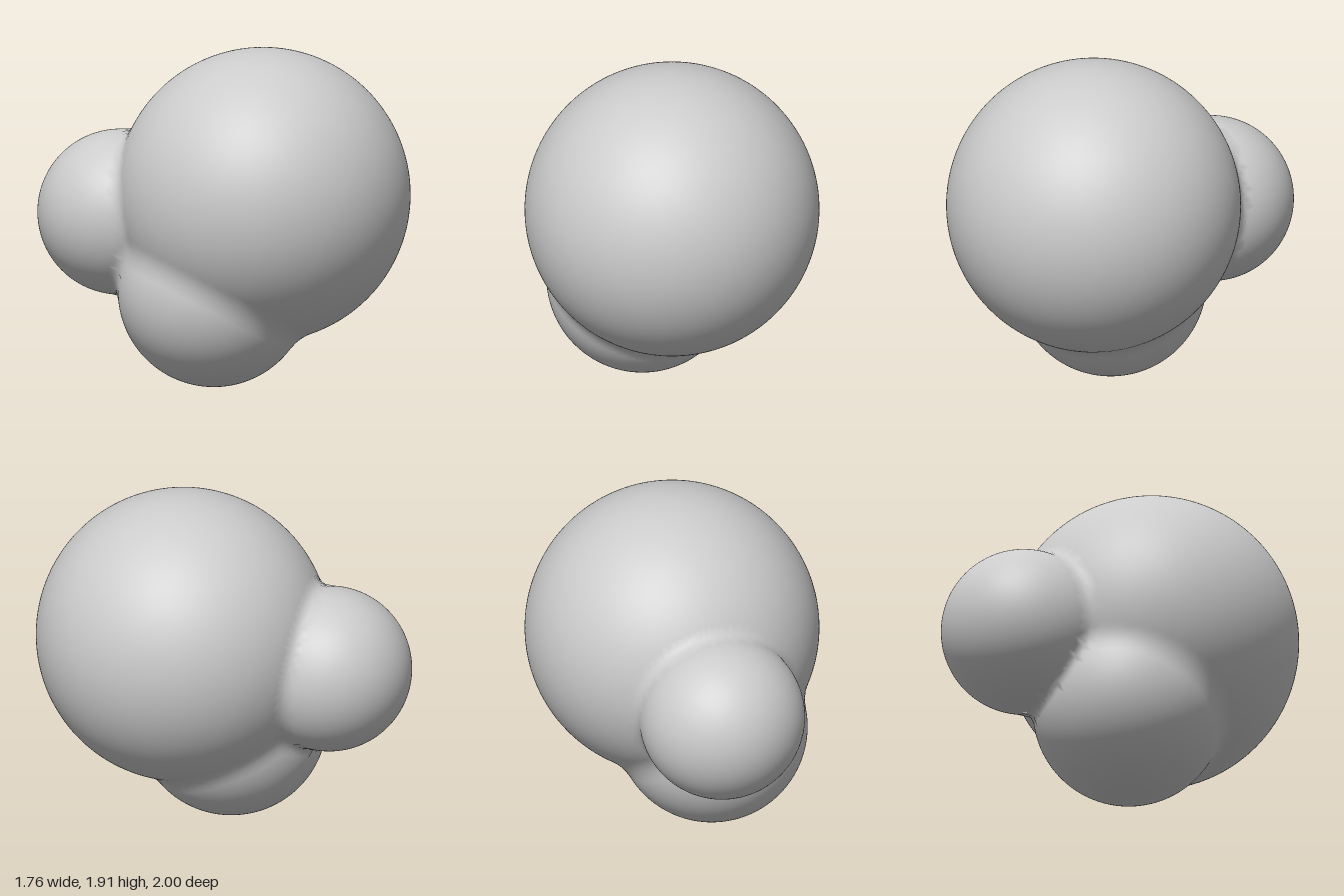
import * as THREE from 'three';

// Three merged balls: name, centre, radius
const BALLS = [
  { name: 'mainBall', centre: new THREE.Vector3(0.05, 1.08, 0.17), radius: 0.83 },
  { name: 'backBall', centre: new THREE.Vector3(-0.415, 0.943, -0.533), radius: 0.467 },
  { name: 'lowerBall', centre: new THREE.Vector3(-0.21, 0.54, 0.05), radius: 0.54 },
];
const BLEND = 0.06; // softness of the creases
const REACH = 0.1; // how far a vertex may rise to form a crease

// Signed distance to the softly joined balls
function distance(p) {
  return BALLS.map((b) => p.distanceTo(b.centre) - b.radius).reduce((a, b) => {
    const h = Math.max(BLEND - Math.abs(a - b), 0) / BLEND;
    return Math.min(a, b) - (h * h * BLEND) / 4;
  });
}

// Surface normal from the slope of the distance
function normalAt(p) {
  const e = 0.002;
  const slope = (axis) => {
    const q = p.clone();
    q[axis] += e;
    const ahead = distance(q);
    q[axis] -= 2 * e;
    return ahead - distance(q);
  };
  return new THREE.Vector3(slope('x'), slope('y'), slope('z')).normalize();
}

// Raise a ball's vertices onto the blended surface and drop its buried faces
function createBall({ name, centre, radius }, material) {
  const source = new THREE.IcosahedronGeometry(1, 30).attributes.position;
  const positions = [];
  const normals = [];
  for (let i = 0; i < source.count; i += 3) {
    const corners = [0, 1, 2].map((k) => {
      const out = new THREE.Vector3().fromBufferAttribute(source, i + k).normalize();
      const start = centre.clone().addScaledVector(out, radius);
      const p = start.clone();
      let d = distance(p);
      for (let n = 0; n < 30 && d < -0.0005 && p.distanceTo(start) < REACH; n++) {
        p.addScaledVector(out, -d);
        d = distance(p);
      }
      const exposed = d > -0.001;
      return { exposed, point: exposed ? p : start, normal: exposed ? normalAt(p) : out };
    });
    if (!corners.some((c) => c.exposed)) continue;
    for (const c of corners) {
      positions.push(...c.point.toArray());
      normals.push(...c.normal.toArray());
    }
  }
  const geometry = new THREE.BufferGeometry();
  geometry.setAttribute('position', new THREE.Float32BufferAttribute(positions, 3));
  geometry.setAttribute('normal', new THREE.Float32BufferAttribute(normals, 3));
  const mesh = new THREE.Mesh(geometry, material);
  mesh.name = name;
  return mesh;
}

export function createModel() {
  const group = new THREE.Group();
  group.name = 'mergedBalls';
  const material = new THREE.MeshStandardMaterial({ color: 0xcccccc });
  for (const ball of BALLS) group.add(createBall(ball, material));
  return group;
}
